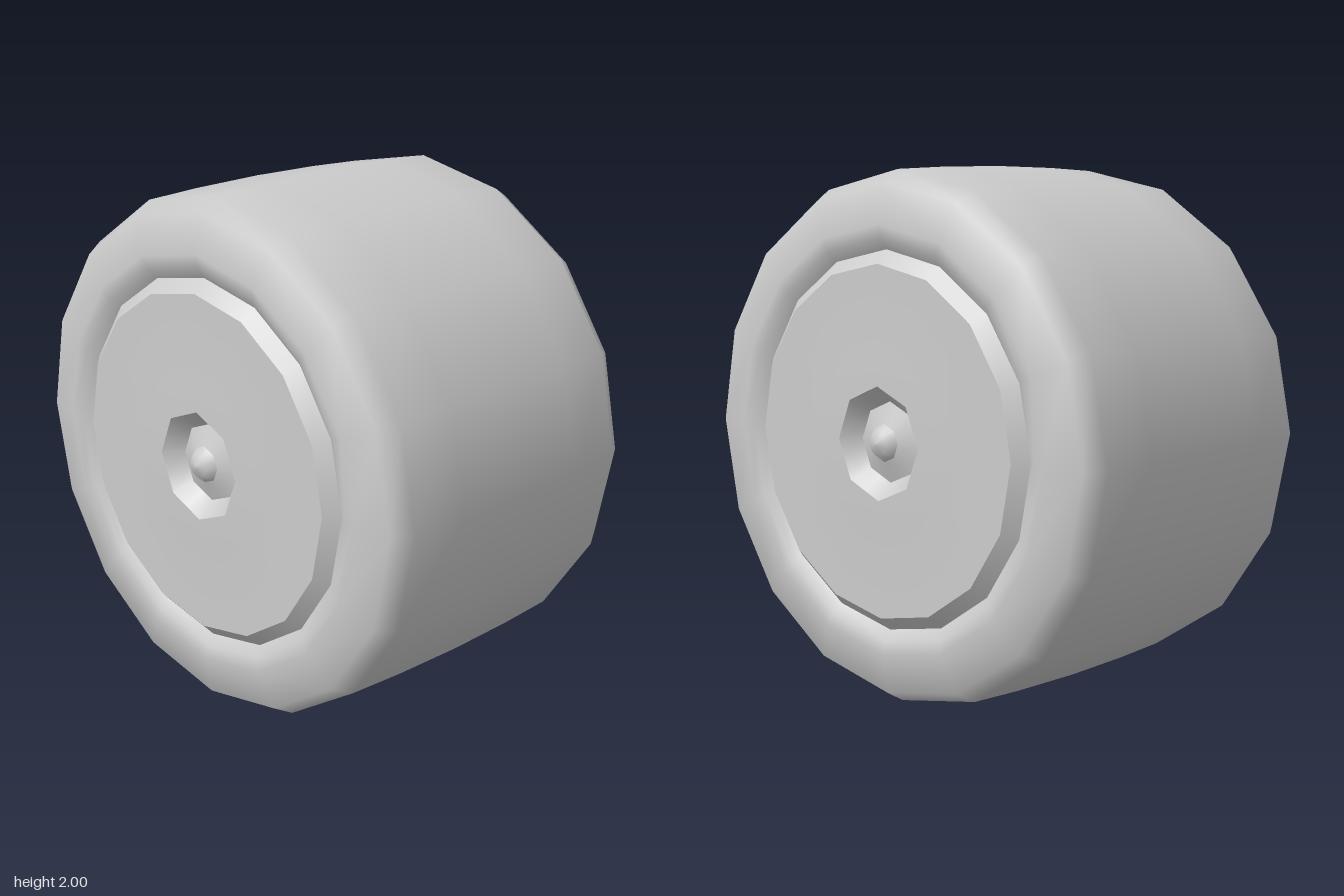
import * as THREE from 'three';

const SIDES = 16;
const material = new THREE.MeshStandardMaterial({ color: 0xcccccc });

// Lathe around the x axis from [radius, x] pairs, listed by rising x on the outside
function turned(name, profile) {
  const geometry = new THREE.LatheGeometry(profile.map(([r, x]) => new THREE.Vector2(r, x)), SIDES);
  const position = geometry.attributes.position;
  const count = profile.length;

  // Rings near the hub become octagons: every second corner moves onto the edge
  for (let i = 0; i < position.count; i++) {
    const column = Math.floor(i / count);
    if (column % 2 === 1 && profile[i % count][0] < 0.25) {
      const k = Math.cos(Math.PI / 8);
      position.setX(i, position.getX(i) * k);
      position.setZ(i, position.getZ(i) * k);
    }
  }
  geometry.rotateZ(-Math.PI / 2);
  const mesh = new THREE.Mesh(geometry, material);
  mesh.name = name;
  return mesh;
}

// One wheel cover, facing +x
function createCover() {
  const cover = new THREE.Group();
  cover.add(
    turned('rimBevel', [[0.70, 0.59], [0.65, 0.636]]),
    turned('wheelDisc', [[0.65, 0.636], [0.42, 0.636], [0.33, 0.641], [0.21, 0.643]]),
    turned('hubRecess', [[0.21, 0.643], [0.15, 0.58]]),
    turned('hubFloor', [[0.15, 0.58], [0.07, 0.61]]),
    turned('axleNub', [[0.07, 0.61], [0.045, 0.642], [0, 0.652]])
  );
  return cover;
}

export function createModel() {
  const wheel = new THREE.Group();
  wheel.name = 'wheel';

  // Tyre: half profile from crown to inner lip, mirrored to the other side
  const half = [[0.995, 0.3], [0.985, 0.53], [0.94, 0.605], [0.79, 0.63], [0.74, 0.618], [0.70, 0.59]];
  const mirrored = half.map(([r, x]) => [r, -x]).reverse();
  wheel.add(turned('tyre', [...mirrored, [1, 0], ...half]));

  // Covers on both sides
  for (const side of ['left', 'right']) {
    const cover = createCover();
    cover.name = side + 'Cover';
    if (side === 'right') cover.rotation.y = Math.PI;
    wheel.add(cover);
  }

  wheel.position.y = 1;
  const model = new THREE.Group();
  model.add(wheel);
  return model;
}
